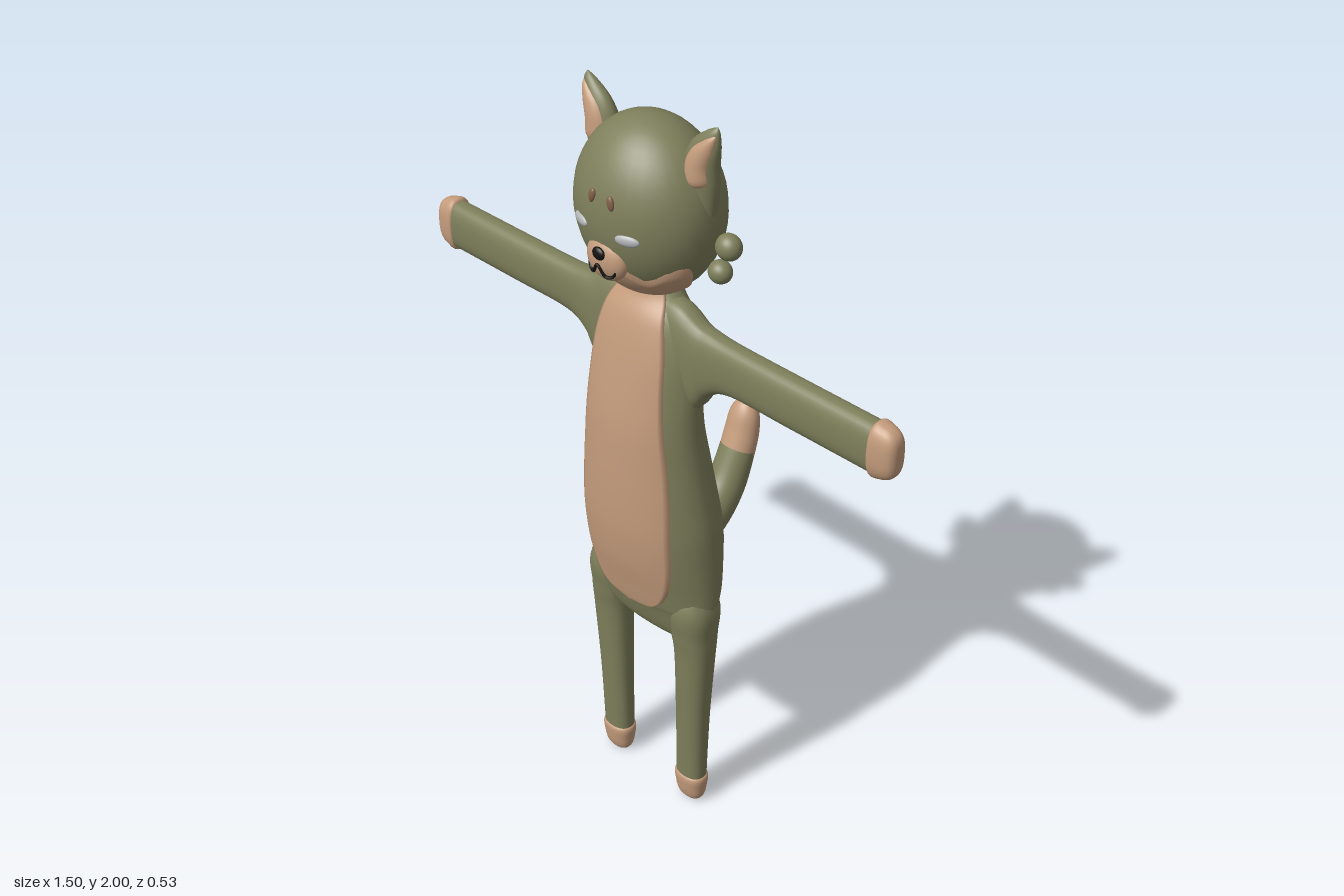
import * as THREE from 'three';

const mat = (color) => new THREE.MeshStandardMaterial({ color, roughness: 0.9, side: THREE.DoubleSide });
const V = (x, y, z) => new THREE.Vector3(x, y, z);
const UP = V(0, 1, 0), X = V(1, 0, 0);

// Smooth interpolation of every column of a row table, t counted in rows
function sample(rows, t) {
  const n = rows.length - 1, i = Math.min(Math.floor(t), n - 1), f = t - i;
  const at = (k) => rows[Math.max(0, Math.min(n, k))];
  const [p, q, r, s] = [at(i - 1), at(i), at(i + 1), at(i + 2)];
  return q.map((b, k) => {
    const a = p[k], c = r[k], d = s[k];
    return b + 0.5 * f * (c - a + f * (2 * a - 5 * b + 4 * c - d + f * (3 * (b - c) + d - a)));
  });
}

// Surface from point(u, v), u around and v along; closed joins the u ends
function surface(name, material, nu, nv, point, closed = false) {
  const pos = [], index = [], cols = closed ? nu : nu + 1;
  for (let j = 0; j <= nv; j++)
    for (let i = 0; i < cols; i++) pos.push(...point(i / nu, j / nv).toArray());
  for (let j = 0; j < nv; j++)
    for (let i = 0; i < nu; i++) {
      const a = j * cols + i, b = j * cols + ((i + 1) % cols), c = a + cols, d = b + cols;
      index.push(a, b, d, a, d, c);
    }
  const g = new THREE.BufferGeometry();
  g.setAttribute('position', new THREE.Float32BufferAttribute(pos, 3));
  g.setIndex(index);
  g.computeVertexNormals();
  const mesh = new THREE.Mesh(g, material);
  mesh.name = name;
  return mesh;
}

// Closed loft through rows [x, y, z, ru, rv]; a lower power squares the section
function loft(name, material, rows, along, u, power = 1) {
  const n = rows.length - 1, bend = (w) => Math.sign(w) * Math.abs(w) ** power;
  return surface(name, material, 32, n * 6, (s, t) => {
    const [x, y, z, ru, rv] = sample(rows, t * n);
    let dir = along;
    if (!dir) {
      const a = sample(rows, Math.max(0, t * n - 0.05)), b = sample(rows, Math.min(n, t * n + 0.05));
      dir = V(b[0] - a[0], b[1] - a[1], b[2] - a[2]).normalize();
    }
    const v = dir.clone().cross(u), ang = s * Math.PI * 2;
    return V(x, y, z)
      .addScaledVector(u, Math.max(0, ru) * bend(Math.cos(ang)))
      .addScaledVector(v, Math.max(0, rv) * bend(Math.sin(ang)));
  }, true);
}

function ball(name, material, x, y, z, rx, ry, rz) {
  const m = new THREE.Mesh(new THREE.SphereGeometry(1, 32, 24), material);
  m.name = name;
  m.position.set(x, y, z);
  m.scale.set(rx, ry, rz);
  return m;
}

export function createModel() {
  const model = new THREE.Group();
  model.name = 'standingAnimal';
  const fur = mat(0x7e7f5b), tan = mat(0xc49c7c), black = mat(0x15120f);
  const grey = mat(0xb4b6b8), brown = mat(0x805f48);

  // Torso: y, centre z, half width, half depth, belly half width
  const torso = [
    [0.54, 0.097, 0, 0, 0], [0.55, 0.097, 0.15, 0.03, 0], [0.58, 0.097, 0.19, 0.055, 0],
    [0.65, 0.09, 0.2, 0.085, 0], [0.67, 0.088, 0.202, 0.094, 0.085], [0.72, 0.085, 0.204, 0.108, 0.125],
    [0.8, 0.087, 0.204, 0.122, 0.143], [0.9, 0.092, 0.202, 0.128, 0.147], [1.0, 0.1, 0.19, 0.122, 0.145],
    [1.1, 0.108, 0.177, 0.112, 0.138], [1.2, 0.115, 0.167, 0.1, 0.127], [1.3, 0.112, 0.163, 0.09, 0.118],
    [1.4, 0.104, 0.155, 0.08, 0.11], [1.48, 0.095, 0.13, 0.068, 0.092], [1.53, 0.085, 0.085, 0.052, 0.07],
    [1.57, 0.08, 0.055, 0.04, 0.045], [1.6, 0.08, 0, 0, 0],
  ];
  model.add(loft('torso', fur, torso.map(([y, z, rx, rz]) => [0, y, z, rx, rz]), UP, X));

  // Belly: a raised patch that follows the front of the torso
  model.add(surface('belly', tan, 28, 72, (s, t) => {
    const [y, z, rx, rz, w] = sample(torso, 3 + t * 12);
    const k = s * 2 - 1, a = k * Math.asin(Math.min(1, Math.max(0, w) / rx));
    const lift = Math.abs(k) === 1 ? -0.003 : 0.01;
    return V((rx + lift) * Math.sin(a), y, z + (rz + lift) * Math.cos(a));
  }));

  // Head
  const hy = 1.75, hz = 0.095, R = [0.19, 0.215, 0.158];
  const head = new THREE.Group();
  head.name = 'head';
  model.add(head);
  head.add(ball('skull', fur, 0, hy, hz, ...R));

  // Muzzle mask: wavy upper edge by angle from the front
  const edge = [[1.7], [1.65], [1.625], [1.655], [1.66], [1.585]];
  head.add(surface('muzzleMask', tan, 64, 14, (s, t) => {
    const phi = (s * 2 - 1) * 1.6;
    const top = Math.asin((sample(edge, Math.abs(phi) / 0.32)[0] - hy) / R[1]);
    const th = -Math.PI / 2 + t * (top + Math.PI / 2), k = t === 1 ? 0.99 : 1.025;
    return V(k * R[0] * Math.cos(th) * Math.sin(phi), hy + k * R[1] * Math.sin(th),
      hz + k * R[2] * Math.cos(th) * Math.cos(phi));
  }));
  head.add(ball('snout', tan, 0, 1.66, 0.228, 0.06, 0.055, 0.032));
  head.add(ball('nose', black, 0, 1.68, 0.256, 0.019, 0.016, 0.009));
  const smile = [[-0.043, 1.652, 0.244], [-0.036, 1.632, 0.248], [-0.02, 1.628, 0.255], [0, 1.654, 0.261],
    [0.02, 1.628, 0.255], [0.036, 1.632, 0.248], [0.043, 1.652, 0.244]];
  const mouth = new THREE.Mesh(new THREE.TubeGeometry(
    new THREE.CatmullRomCurve3(smile.map((p) => V(...p))), 48, 0.004, 8), black);
  mouth.name = 'mouth';
  head.add(mouth);

  // Mirrored parts
  for (const s of [1, -1]) {
    const side = s > 0 ? 'left' : 'right';
    const flip = (rows) => rows.map(([x, ...rest]) => [s * x, ...rest]);
    const out = V(s, 0, 0);

    // Face
    const eye = ball(side + 'Eye', grey, s * 0.073, 1.733, 0.238, 0.03, 0.014, 0.009);
    eye.rotation.y = s * 0.35;
    const brow = ball(side + 'Brow', brown, s * 0.029, 1.81, 0.244, 0.01, 0.018, 0.007);
    brow.rotation.z = s * 0.2;
    head.add(eye, brow);
    head.add(ball(side + 'UpperCheekTuft', fur, s * 0.208, 1.7, 0.058, 0.033, 0.032, 0.029));
    head.add(ball(side + 'LowerCheekTuft', fur, s * 0.183, 1.627, 0.058, 0.03, 0.028, 0.027));

    // Ears with a tan lining
    const ear = [[0.15, 1.78, 0.085, 0.04, 0.03], [0.153, 1.85, 0.087, 0.046, 0.034],
      [0.155, 1.9, 0.09, 0.047, 0.032], [0.17, 1.95, 0.092, 0.039, 0.023],
      [0.19, 1.985, 0.092, 0.018, 0.011], [0.201, 2.0, 0.09, 0, 0]];
    head.add(loft(side + 'Ear', fur, flip(ear), UP, X));
    const lining = ear.slice(1).map(([x, y, z, a, b]) =>
      [x + 0.002, 1.86 + (y - 1.85) * 0.83, z + 0.008, a * 0.74, b]);
    lining.unshift([0.15, 1.84, 0.1, 0, 0]);
    head.add(loft(side + 'EarLining', tan, flip(lining), UP, X));

    // Arms flare into the shoulder, paws round off
    model.add(loft(side + 'Arm', fur, flip([[0, 1.38, 0.09, 0.15, 0.05], [0.1, 1.38, 0.093, 0.15, 0.052],
      [0.165, 1.387, 0.095, 0.113, 0.044], [0.2, 1.407, 0.095, 0.085, 0.039], [0.27, 1.42, 0.095, 0.066, 0.035],
      [0.45, 1.42, 0.095, 0.064, 0.035], [0.69, 1.42, 0.095, 0.064, 0.034]]), out, UP, 0.75));
    model.add(loft(side + 'Paw', tan, flip([[0.684, 1.42, 0.095, 0, 0], [0.685, 1.42, 0.095, 0.066, 0.035],
      [0.715, 1.42, 0.095, 0.067, 0.035], [0.738, 1.42, 0.095, 0.056, 0.028],
      [0.748, 1.42, 0.095, 0.036, 0.016], [0.75, 1.42, 0.095, 0, 0]]), out, UP, 0.75));

    // Legs and feet
    model.add(loft(side + 'Leg', fur, flip([[0.138, 0.085, 0.097, 0.043, 0.032], [0.142, 0.3, 0.097, 0.046, 0.038],
      [0.148, 0.5, 0.097, 0.053, 0.046], [0.145, 0.58, 0.096, 0.058, 0.055],
      [0.14, 0.68, 0.094, 0.06, 0.06], [0.13, 0.8, 0.09, 0, 0]]), UP, X, 0.85));
    model.add(loft(side + 'Foot', tan, flip([[0.138, 0, 0.097, 0, 0], [0.138, 0.003, 0.097, 0.025, 0.016],
      [0.138, 0.015, 0.097, 0.038, 0.026], [0.138, 0.045, 0.097, 0.044, 0.033],
      [0.138, 0.088, 0.097, 0.0445, 0.0335], [0.138, 0.089, 0.097, 0, 0]]), UP, X, 0.85));
  }

  // Tail curving up behind, with a tan tip
  model.add(loft('tail', fur, [[0, 0.75, 0.03, 0.05, 0.06], [0, 0.74, -0.03, 0.052, 0.066],
    [0, 0.763, -0.1, 0.052, 0.062], [0, 0.83, -0.165, 0.05, 0.053], [0, 0.925, -0.208, 0.048, 0.044]], null, X));
  model.add(loft('tailTip', tan, [[0, 0.915, -0.205, 0.048, 0.044], [0, 0.97, -0.222, 0.047, 0.041],
    [0, 1.02, -0.231, 0.041, 0.034], [0, 1.05, -0.235, 0.024, 0.02], [0, 1.06, -0.236, 0, 0]], null, X));
  return model;
}
